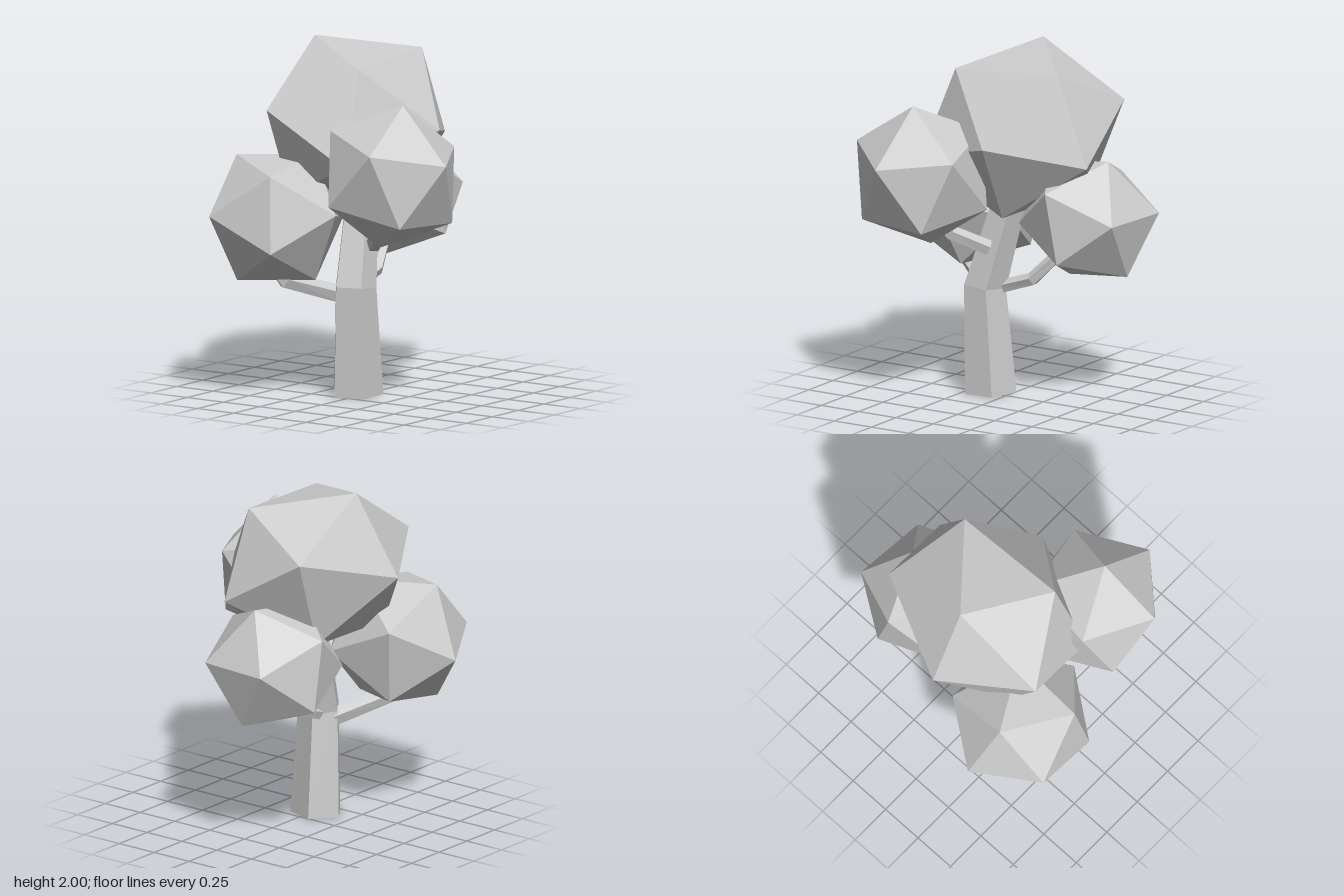
import * as THREE from 'three';

const V = (p) => new THREE.Vector3(...p);
const material = new THREE.MeshStandardMaterial({ color: 0xcccccc, flatShading: true });

function addMesh(group, name, geometry) {
  const mesh = new THREE.Mesh(geometry, material);
  mesh.name = name;
  group.add(mesh);
}

// Tapered five-sided limb through a list of [x, y, z, radius] joints
function limbGeometry(joints, ref, sides = 5) {
  const pts = joints.map(([x, y, z]) => V([x, y, z]));
  const last = pts.length - 1;
  const rings = pts.map((p, i) => {
    const t = new THREE.Vector3();
    if (i > 0) t.add(p.clone().sub(pts[i - 1]).normalize());
    if (i < last) t.add(pts[i + 1].clone().sub(p).normalize());
    t.normalize();
    const u = ref.clone().addScaledVector(t, -ref.dot(t)).normalize();
    const v = t.clone().cross(u);
    return Array.from({ length: sides }, (_, j) => {
      const a = (j / sides) * Math.PI * 2;
      const q = p.clone()
        .addScaledVector(u, joints[i][3] * Math.cos(a))
        .addScaledVector(v, joints[i][3] * Math.sin(a));
      q.y = Math.max(0, q.y);
      return q;
    });
  });
  const tris = [];
  for (let j = 0; j < sides; j++) {
    const k = (j + 1) % sides;
    for (let i = 0; i < last; i++) {
      const [a, b, c, d] = [rings[i][j], rings[i][k], rings[i + 1][k], rings[i + 1][j]];
      tris.push(a, b, c, a, c, d);
    }
    tris.push(pts[0], rings[0][k], rings[0][j]);
    tris.push(pts[last], rings[last][j], rings[last][k]);
  }
  const geometry = new THREE.BufferGeometry().setFromPoints(tris);
  geometry.computeVertexNormals();
  return geometry;
}

// Icosahedron fitted to a centre and the three corners of one of its faces
function clumpGeometry(centre, corners) {
  const c = V(centre);
  const t = (1 + Math.sqrt(5)) / 2;
  const source = [[-1, t, 0], [-t, 0, 1], [0, 1, t]].map((p) => V(p).normalize());
  const target = corners.map((p) => V(p).sub(c));
  const matrix = new THREE.Matrix4().makeBasis(...target)
    .multiply(new THREE.Matrix4().makeBasis(...source).invert())
    .setPosition(c);
  const geometry = new THREE.IcosahedronGeometry(1, 0).applyMatrix4(matrix);
  geometry.computeVertexNormals();
  return geometry;
}

export function createModel() {
  const tree = new THREE.Group();
  tree.name = 'tree';

  // Trunk, bent at mid height
  addMesh(tree, 'trunk', limbGeometry([
    [-0.125, 0, -0.028, 0.152],
    [-0.157, 0.62, -0.02, 0.125],
    [0.01, 1.25, -0.08, 0.095],
  ], V([0, 0, -1])));

  // Branches
  const branches = {
    leftBranch: [[-0.1, 0.6, -0.06, 0.04], [0.13, 0.68, -0.07, 0.04], [0.32, 0.88, -0.13, 0.035]],
    backRightBranch: [[-0.17, 0.57, -0.1, 0.055], [-0.44, 0.67, -0.29, 0.05], [-0.5, 0.8, -0.36, 0.04]],
    frontRightBranch: [[-0.08, 0.86, 0.06, 0.045], [-0.24, 0.96, 0.21, 0.045], [-0.3, 1.1, 0.3, 0.04]],
  };
  for (const [name, joints] of Object.entries(branches)) {
    addMesh(tree, name, limbGeometry(joints, V([0, 1, 0])));
  }

  // Foliage clumps
  const clumps = {
    crownFoliage: [[0.022, 1.532, -0.137],
      [[-0.01, 2, -0.397], [-0.275, 1.885, 0.1], [0.385, 1.92, 0.06]]],
    frontRightFoliage: [[-0.33, 1.315, 0.36],
      [[-0.335, 1.73, 0.445], [-0.695, 1.49, 0.47], [-0.375, 1.42, 0.77]]],
    leftFoliage: [[0.446, 1.06, -0.168],
      [[0.59, 1.41, -0.145], [0.759, 1.098, 0.076], [0.798, 1.1, -0.35]]],
    backRightFoliage: [[-0.44, 1.027, -0.357],
      [[-0.495, 1.37, -0.59], [-0.803, 1.06, -0.56], [-0.712, 1.31, -0.205]]],
  };
  for (const [name, [centre, corners]] of Object.entries(clumps)) {
    addMesh(tree, name, clumpGeometry(centre, corners));
  }
  return tree;
}
